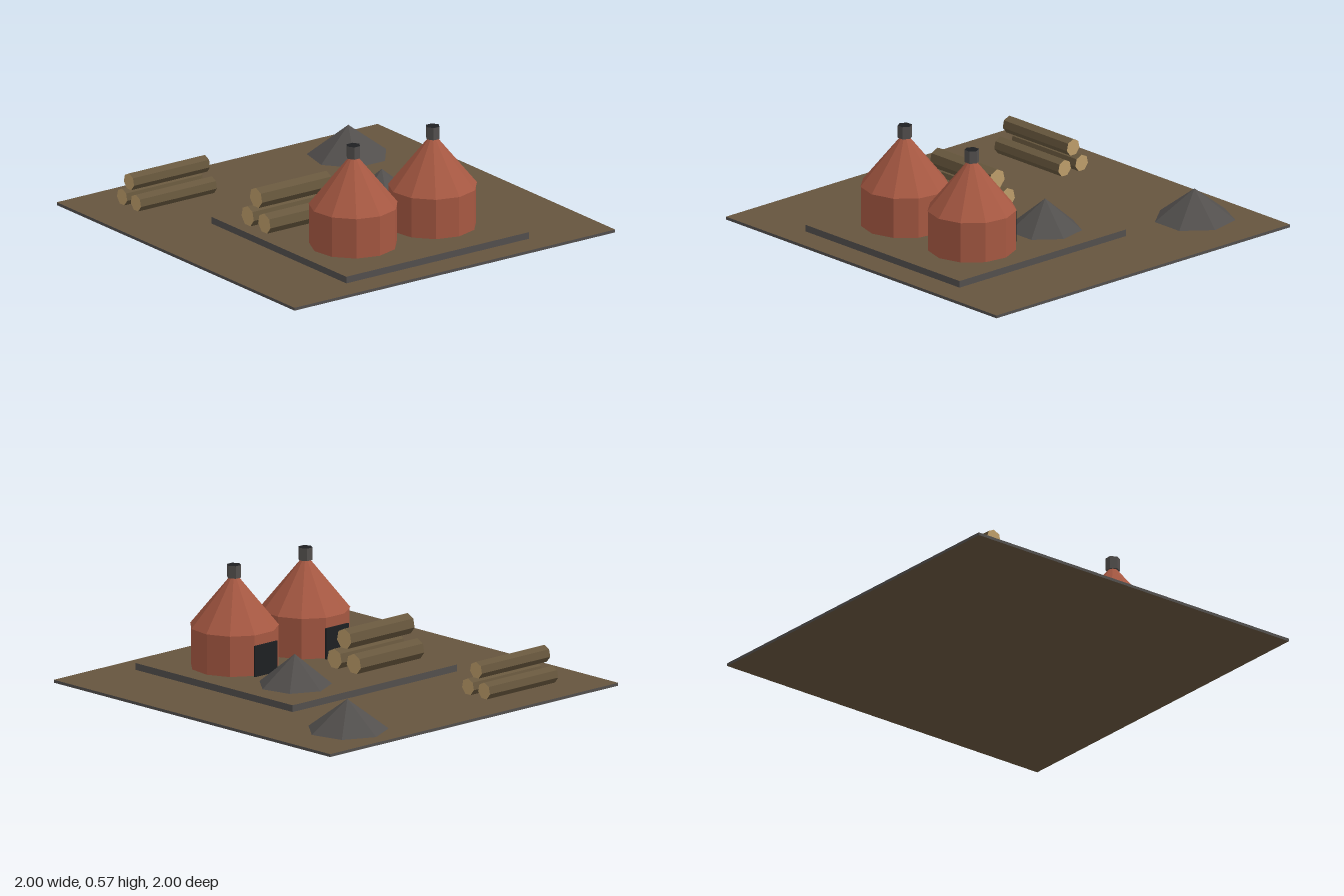
import * as THREE from 'three';

const mat = (name, color) => {
  const m = new THREE.MeshStandardMaterial({ color, flatShading: true });
  m.name = name;
  return m;
};

export function createModel() {
  const earth = mat('earth', 0x65543e);
  const stone = mat('stone', 0x524f4d);
  const brick = mat('brick', 0xa65842);
  const bark = mat('bark', 0x67573d);
  const cutWood = mat('cut wood', 0xbd9d6a);
  const soot = mat('soot', 0x1e2022);

  const root = new THREE.Group();
  root.name = 'kilnYard';

  const add = (parent, name, geometry, material, x, y, z) => {
    const mesh = new THREE.Mesh(geometry, material);
    mesh.name = name;
    mesh.position.set(x, y, z);
    parent.add(mesh);
    return mesh;
  };
  const group = (name, x, y, z) => {
    const g = new THREE.Group();
    g.name = name;
    g.position.set(x, y, z);
    root.add(g);
    return g;
  };

  // Earth-topped slabs with stone edges
  const slabMats = [stone, stone, earth, earth, stone, stone];
  add(root, 'ground', new THREE.BoxGeometry(2, 0.015, 2), slabMats, 0, 0.0075, 0);
  add(root, 'platform', new THREE.BoxGeometry(1.14, 0.035, 1.135), slabMats, 0, 0.0325, 0.2875);

  // Twin kilns: drum, conical roof, chimney and a rear door
  for (const x of [-0.245, 0.25]) {
    const kiln = group('kiln', x, 0.05, 0.477);
    add(kiln, 'wall', new THREE.CylinderGeometry(0.222, 0.222, 0.21, 11), brick, 0, 0.105, 0);
    add(kiln, 'roof', new THREE.ConeGeometry(0.226, 0.28, 11), brick, 0, 0.35, 0);
    const chimney = add(kiln, 'chimney', new THREE.CylinderGeometry(0.037, 0.037, 0.065, 6),
      [stone, soot, stone], 0, 0.4925, 0);
    chimney.rotation.y = Math.PI / 6;
    add(kiln, 'door', new THREE.BoxGeometry(0.155, 0.16, 0.009), soot, 0, 0.08, -0.229);
  }

  // Coal heaps
  for (const [x, y, z, r, h] of [[0.605, 0.015, -0.713, 0.208, 0.158], [0.281, 0.05, 0.006, 0.188, 0.158]]) {
    const heap = add(root, 'coalHeap', new THREE.ConeGeometry(r, h, 7), stone, x, y + h / 2, z);
    heap.rotation.y = Math.PI;
  }

  // Stacks of three logs: two below, one on top
  for (const [x, y, z, r, length] of [[-0.288, 0.05, 0.012, 0.053, 0.44], [-0.527, 0.015, -0.711, 0.044, 0.474]]) {
    const stack = group('logStack', x, y, z);
    for (const [row, side] of [[0, -1], [0, 1], [1, 0]]) {
      const geometry = new THREE.CylinderGeometry(r, r, length, 7);
      // Lay the log along x with one ridge facing up
      geometry.rotateX(Math.PI / 2).rotateY(Math.PI / 2).rotateX(0);
      const log = add(stack, 'log', geometry, [bark, cutWood, cutWood], 0, r + row * r * 2.2, side * r * 1.32);
      log.rotation.x = Math.PI;
    }
  }
  return root;
}
